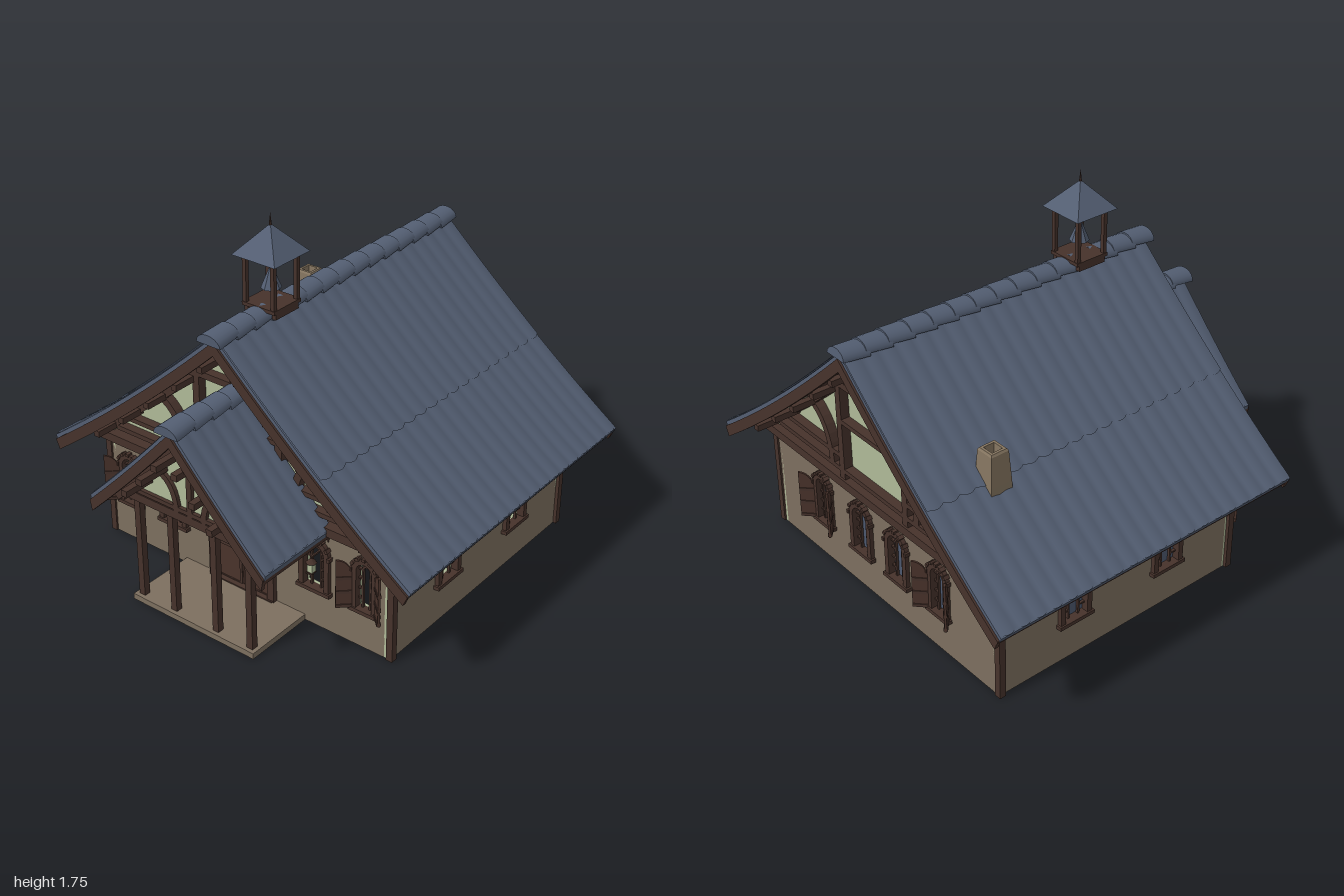
import * as THREE from 'three';

const mat = (name, color) => new THREE.MeshStandardMaterial({ name, color, side: THREE.DoubleSide });

export function createModel() {
  const slate = mat('slate', 0x535e72), timber = mat('timber', 0x46322b), stone = mat('stoneWall', 0x7d6f5f);
  const plaster = mat('plaster', 0xafba98), door = mat('doorWood', 0x4a332b), brick = mat('chimneyStone', 0x857560);
  const glass = mat('glass', 0x4c586e);
  const root = new THREE.Group();
  root.name = 'timberHouse';

  // ---- helpers ----
  const group = (parent, name, x = 0, y = 0, z = 0, ry = 0) => {
    const g = new THREE.Group();
    g.name = name; g.position.set(x, y, z); g.rotation.y = ry;
    parent.add(g);
    return g;
  };
  const add = (parent, name, geo, m, x = 0, y = 0, z = 0) => {
    const o = new THREE.Mesh(geo, m);
    o.name = name; o.position.set(x, y, z);
    parent.add(o);
    return o;
  };
  const box = (p, name, m, w, h, d, x, y, z) => add(p, name, new THREE.BoxGeometry(w, h, d), m, x, y, z);
  const vecs = a => a.map(([x, y]) => new THREE.Vector2(x, y));
  const extrude = (p, name, m, pts, d, z, holes = []) => {
    const s = new THREE.Shape(vecs(pts));
    s.holes = holes.map(h => new THREE.Path(vecs(h)));
    return add(p, name, new THREE.ExtrudeGeometry(s, { depth: d, bevelEnabled: false }), m, 0, 0, z);
  };
  // strip of constant width along a centre line
  const band = (p, name, m, pts, w, d, z) => {
    const a = [], b = [];
    pts.forEach(([x, y], i) => {
      const q = pts[Math.max(i - 1, 0)], r = pts[Math.min(i + 1, pts.length - 1)];
      const dx = r[0] - q[0], dy = r[1] - q[1], l = Math.hypot(dx, dy) * 2 / w;
      a.push([x - dy / l, y + dx / l]);
      b.unshift([x + dy / l, y - dx / l]);
    });
    return extrude(p, name, m, [...a, ...b], d, z);
  };
  const bezier = (a, b, c) => new THREE.QuadraticBezierCurve(...vecs([a, b, c])).getPoints(8).map(v => [v.x, v.y]);
  const arch = (hw, y0, spring, rise, n = 12) => {
    const pts = [[hw, y0]];
    for (let i = 0; i <= n; i++) {
      const t = Math.PI * i / n;
      pts.push([hw * Math.cos(t), spring + rise * Math.sin(t)]);
    }
    return [...pts, [-hw, y0]];
  };
  // points across a roof profile, narrowed by k and lowered by drop
  const across = (f, hw, k, drop) => Array.from({ length: 25 }, (_, i) => {
    const x = hw * k * (i - 12) / 12;
    return [x, f(Math.abs(x)) - drop];
  });

  // ---- roofs ----
  const mainF = x => 1.33 - 0.93 * x + 0.11 * x * x;
  const porchF = x => 1.03 - 1.1 * x + 0.15 * x * x;
  const tiles = (p, f, hw, z0, z1, cols, lift) => {
    const g = new THREE.PlaneGeometry(2, 1, 24, cols * 6).rotateX(-Math.PI / 2), a = g.attributes.position;
    for (let i = 0; i < a.count; i++) {
      const v = a.getZ(i) + 0.5, s = Math.abs(Math.sin(Math.PI * cols * v));
      const x = a.getX(i) * (hw - 0.014 * (1 - s));
      a.setXYZ(i, x, f(Math.abs(x)) + lift + 0.007 * s, z0 + v * (z1 - z0));
    }
    g.computeVertexNormals();
    add(p, 'roofTiles', g, slate);
  };
  const ridge = (p, y, z0, z1, n) => {
    const step = (z1 - z0) / n;
    for (let i = 0; i < n; i++) {
      const g = new THREE.CylinderGeometry(0.064, 0.058, step * 1.15, 10, 1, false, Math.PI / 2, Math.PI);
      g.rotateX(Math.PI / 2).scale(1, 0.75, 1).rotateX(0.1);
      const t = add(p, 'ridgeTile', g, slate, 0, y, z0 + step * (i + 0.5));
      t.geometry.computeBoundingBox();
      if (t.geometry.boundingBox.max.y < 0.03) t.rotation.z = Math.PI;
    }
  };
  const roof = (name, f, hw, z0, z1, cols) => {
    const g = group(root, name);
    tiles(g, f, hw, z0 + 0.01, z1 - 0.01, cols, 0.002);
    const layer = (n, m, k0, k1, a, b, s, e) =>
      extrude(g, n, m, [...across(f, hw, k0, a), ...across(f, hw, k1, b).reverse()], e - s, s);
    layer('slateLayer', slate, 0.995, 0.985, 0, 0.028, z0 + 0.01, z1 - 0.01);
    layer('roofBoards', timber, 0.985, 0.97, 0.028, 0.06, z0, z1);
    for (const z of [z0, z1 - 0.02]) layer('bargeBoard', timber, 0.985, 0.965, 0.022, 0.085, z, z + 0.02);
    return g;
  };
  const mainRoof = roof('mainRoof', mainF, 1, -0.985, 0.675, 20);
  tiles(mainRoof, mainF, 0.56, -0.975, 0.665, 20, 0.01);
  ridge(mainRoof, 1.31, -0.985, 0.69, 15);
  const porchRoof = roof('porchRoof', porchF, 0.49, 0.5, 0.955, 6);
  ridge(porchRoof, 1.01, 0.52, 0.96, 4);

  // ---- windows ----
  const opening = hw => arch(hw, 0.205, 0.44 - hw, hw);
  const windowUnit = (p, x, hw, z, glazed, shutters) => {
    const w = group(p, 'window', x, 0, z), sp = 0.44 - hw;
    band(w, 'windowFrame', timber, arch(hw + 0.008, 0.2, sp, hw + 0.008), 0.026, 0.035, -0.015);
    box(w, 'sill', timber, hw * 2 + 0.06, 0.018, 0.045, 0, 0.197, 0.005);
    for (let i = 0; i < 7; i++) {
      const t = Math.PI * i / 6, r = hw + 0.022;
      const b = box(w, 'archBlock', timber, 0.014, 0.018, 0.03, r * Math.cos(t), sp + r * Math.sin(t), 0.012);
      b.rotation.z = t;
    }
    const r = hw * 0.42;
    band(w, 'innerArch', timber, arch(r, 0.205, sp, r), 0.009, 0.012, -0.012);
    for (const y of [0.25, 0.3, 0.35]) for (const s of [-1, 1])
      box(w, 'glazingBar', timber, hw - r, 0.008, 0.012, s * (hw + r) / 2, y, -0.006);
    for (const t of [0, 0.28, 0.5, 0.72, 1].map(v => v * Math.PI))
      band(w, 'radialBar', timber, [r, hw].map(q => [q * Math.cos(t), sp + q * Math.sin(t)]), 0.008, 0.012, -0.012);
    if (glazed) extrude(w, 'glass', glass, opening(hw), 0.004, -0.02);
    if (!shutters) return;
    for (const s of [-1, 1]) {
      const h = group(w, 'shutter', s * (hw + 0.02), 0, 0.012, -s * 0.75);
      const top = bezier([s * 0.07, 0.44], [s * 0.015, 0.435], [0, 0.37]);
      extrude(h, 'shutterBoard', door, [[0, 0.2], [s * 0.07, 0.2], ...top], 0.01, 0);
      for (const y of [0.21, 0.28, 0.35]) box(h, 'shutterRail', timber, 0.066, 0.015, 0.018, s * 0.035, y, 0.005);
    }
  };

  // ---- walls: tan outer skin with a plaster lining, gables on front and back ----
  const house = group(root, 'house', 0, 0, -0.157);
  const doorHole = arch(0.16, 0.002, 0.4, 0.055);
  const wall = (name, half, dist, ry, wins, gable, glazed, hasDoor) => {
    const w = group(house, name, 0, 0, 0, ry);
    const holes = wins.map(([x, hw]) => opening(hw).map(([a, b]) => [a + x, b]));
    if (hasDoor) holes.push(doorHole);
    const h = gable ? 0.53 : 0.57;
    const rect = y => [[-half, 0], [half, 0], [half, y], [-half, y]];
    extrude(w, 'outerWall', stone, rect(h), 0.018, dist - 0.018, holes);
    const top = gable ? [[-half, 0], [half, 0], ...across(mainF, half, 1, 0.055).reverse()] : rect(0.58);
    extrude(w, gable ? 'gableLining' : 'lining', plaster, top, 0.015, dist - 0.033, holes);
    wins.forEach(([x, hw, sh]) => windowUnit(w, x, hw, dist, glazed, sh));
    return w;
  };
  const gableTimbers = (w, z) => {
    const t = (pts, wd = 0.03, d = 0.045) => band(w, 'gableTimber', timber, pts, wd, d, z - 0.02);
    t([[-0.84, 0.53], [0.84, 0.53]], 0.042, 0.055);
    t([[-0.72, 0.595], [0.72, 0.595]], 0.022);
    t([[-0.28, 1.04], [0.28, 1.04]]);
    t([[-0.22, 0.85], [0.22, 0.85]], 0.022);
    t([[0, 1.04], [0, 1.27]]);
    t(across(mainF, 0.8, 1, 0.095), 0.035);
    for (const s of [-1, 1]) {
      t([[s * 0.225, 0.55], [s * 0.225, 1.07]], 0.036);
      t([[s * 0.64, 0.665], [s * 0.225, 0.665]], 0.022);
      t(bezier([s * 0.3, 0.6], [s * 0.31, 0.8], [s * 0.46, 0.86]), 0.035);
      t(bezier([s * 0.02, 1.06], [s * 0.05, 1.15], [s * 0.13, 1.15]), 0.018);
      for (const x of [0.1, 0.25, 0.42, 0.58, 0.74])
        box(w, 'purlinEnd', timber, 0.03, 0.03, 0.13, s * x, mainF(x) - 0.1, z + 0.07);
    }
  };
  const front = wall('frontWall', 0.8, 0.672, 0,
    [[-0.67, 0.045, 1], [-0.405, 0.06], [0.405, 0.06], [0.67, 0.045, 1]], true, false, true);
  const back = wall('backWall', 0.8, 0.672, Math.PI,
    [[-0.42, 0.045, 1], [-0.13, 0.055], [0.13, 0.055], [0.42, 0.045, 1]], true, true, false);
  wall('leftWall', 0.672, 0.8, Math.PI / 2, [[-0.268, 0.065], [0.268, 0.065]], false, false, false);
  wall('rightWall', 0.672, 0.8, -Math.PI / 2, [[-0.268, 0.065], [0.268, 0.065]], false, true, false);
  for (const w of [front, back]) gableTimbers(w, 0.672);
  for (const x of [-0.8, 0.8]) {
    for (const z of [-0.665, 0.665]) box(house, 'cornerPost', timber, 0.032, 0.56, 0.032, x, 0.28, z);
    box(house, 'wallPlate', timber, 0.035, 0.04, 1.34, x, 0.55, 0);
  }

  // ---- double door ----
  band(front, 'doorFrame', timber, arch(0.168, 0, 0.4, 0.062), 0.036, 0.045, 0.65);
  for (const s of [-1, 1]) {
    const leaf = group(front, 'doorLeaf', 0, 0, 0.655);
    const top = Array.from({ length: 7 }, (_, i) => {
      const x = 0.007 + 0.148 * i / 6;
      return [s * x, 0.4 + 0.05 * Math.sqrt(1 - (x / 0.16) ** 2)];
    });
    extrude(leaf, 'doorBoard', door, [[s * 0.155, 0.01], [s * 0.007, 0.01], ...top], 0.016, 0);
    for (const x of [0.015, 0.145]) box(leaf, 'doorStile', timber, 0.014, 0.37, 0.008, s * x, 0.205, 0.018);
    for (const y of [0.03, 0.21, 0.39]) box(leaf, 'doorRail', timber, 0.13, 0.014, 0.008, s * 0.08, y, 0.018);
    for (const x of [0.058, 0.092]) for (const y of [0.25, 0.288])
      box(leaf, 'doorPane', glass, 0.027, 0.03, 0.006, s * x, y, 0.016);
    // hanging lantern
    const l = group(front, 'lantern', s * 0.43, 0, 0.735);
    box(l, 'lanternBracket', timber, 0.008, 0.008, 0.07, 0, 0.4, -0.03);
    box(l, 'lanternBody', plaster, 0.026, 0.045, 0.026, 0, 0.35, 0);
    add(l, 'lanternCap', new THREE.ConeGeometry(0.026, 0.025, 6), timber, 0, 0.385, 0);
    box(l, 'lanternBase', timber, 0.03, 0.006, 0.03, 0, 0.325, 0);
  }

  // ---- porch ----
  const porch = group(root, 'porch');
  box(porch, 'porchFloor', stone, 0.69, 0.028, 0.35, 0, 0.014, 0.69);
  box(porch, 'doorStep', timber, 0.36, 0.006, 0.03, 0, 0.031, 0.53);
  extrude(porch, 'porchGable', plaster, [[-0.41, 0.535], [0.41, 0.535], ...across(porchF, 0.41, 1, 0.055).reverse()], 0.012, 0.82);
  const pt = (pts, w = 0.028) => band(porch, 'porchTimber', timber, pts, w, 0.04, 0.81);
  pt([[-0.43, 0.54], [0.43, 0.54]], 0.04);
  pt([[-0.4, 0.575], [0.4, 0.575]], 0.02);
  pt([[0, 0.55], [0, 0.98]]);
  pt(across(porchF, 0.43, 1, 0.09), 0.035);
  for (const s of [-1, 1]) {
    pt(bezier([s * 0.075, 0.56], [s * 0.08, 0.71], [s * 0.2, 0.73]));
    for (const x of [0.31, 0.12]) box(porch, 'porchPost', timber, 0.032, 0.51, 0.032, s * x, 0.28, 0.83);
    box(porch, 'porchSideBeam', timber, 0.03, 0.035, 0.31, s * 0.31, 0.53, 0.67);
    for (const [x, y] of [[0.235, 0.655], [0.145, 0.745], [0.055, 0.845]])
      box(porch, 'porchPurlin', timber, 0.032, 0.03, 0.17, s * x, y, 0.905);
  }

  // ---- bell turret ----
  const turret = group(root, 'bellTurret', 0, 0, 0.3);
  box(turret, 'turretBase', timber, 0.175, 0.016, 0.175, 0, 1.35, 0);
  for (const x of [-0.075, 0.075]) {
    for (const z of [-0.075, 0.075]) box(turret, 'turretPost', timber, 0.019, 0.23, 0.019, x, 1.465, z);
    box(turret, 'turretSill', timber, 0.02, 0.04, 0.15, x, 1.335, 0);
  }
  const flat = (r0, r1, h, n, open) => new THREE.CylinderGeometry(r0, r1, h, n, 1, open).toNonIndexed();
  const spread = flat(0, 0.163, 0.13, 4, false).rotateY(Math.PI / 4);
  const bell = flat(0.008, 0.045, 0.09, 8, true);
  for (const g of [spread, bell]) g.computeVertexNormals();
  add(turret, 'turretRoof', spread, slate, 0, 1.635, 0);
  add(turret, 'finial', new THREE.ConeGeometry(0.008, 0.07, 6), timber, 0, 1.715, 0);
  add(turret, 'bell', bell, slate, 0, 1.46, 0);
  add(turret, 'bellRod', new THREE.CylinderGeometry(0.003, 0.003, 0.08, 5), timber, 0, 1.54, 0);

  // ---- chimney: tapered square stack with an open flue ----
  const stack = new THREE.LatheGeometry(
    vecs([[0.08, 0.74], [0.075, 0.86], [0.063, 1.0], [0.055, 1.01], [0.038, 1.01], [0.034, 0.95], [0, 0.95]]), 4)
    .rotateY(Math.PI / 4).toNonIndexed();
  stack.computeVertexNormals();
  add(root, 'chimney', stack, brick, -0.54, 0, -0.635);

  return root;
}
